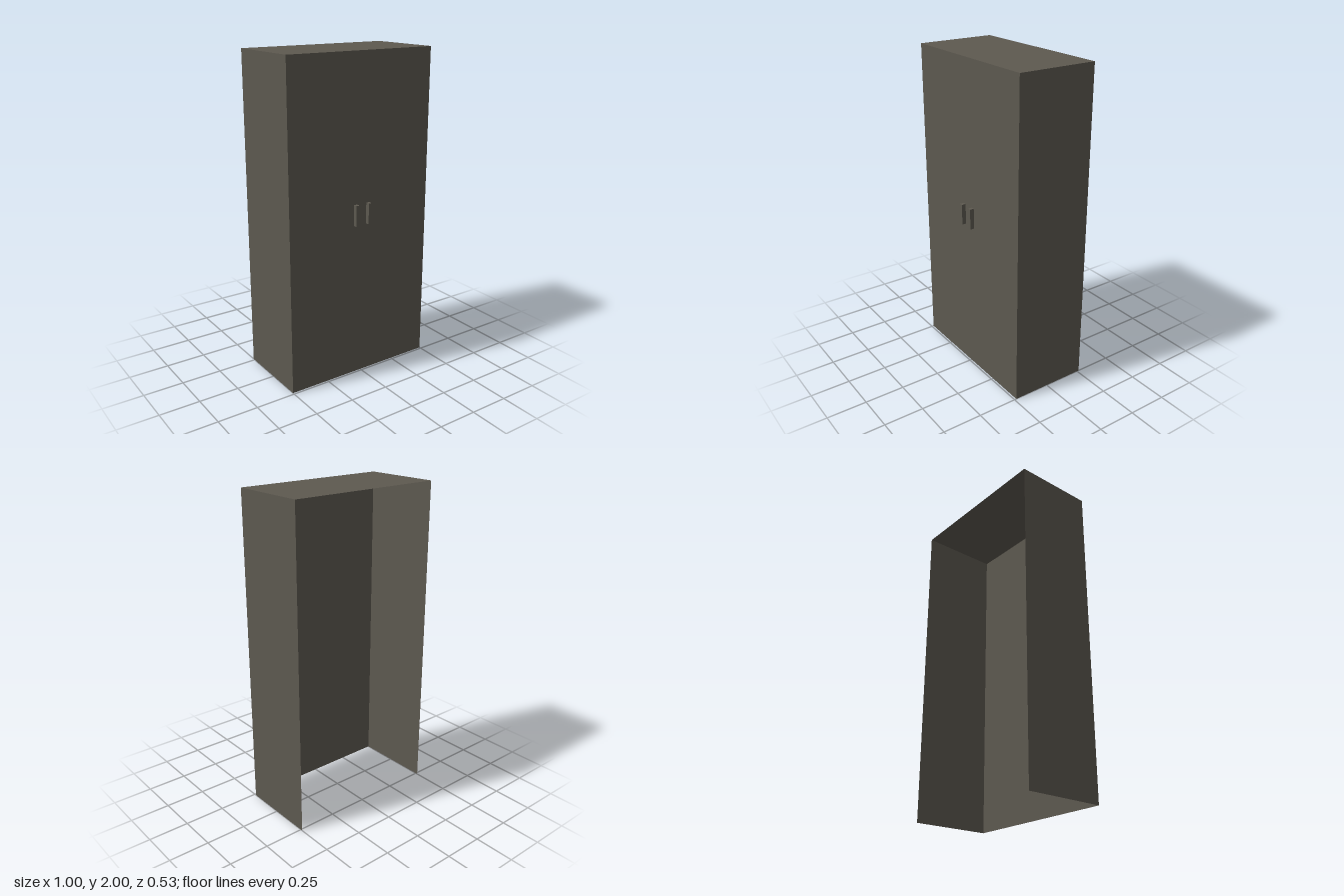
import * as THREE from 'three';

const WIDTH = 1, HEIGHT = 2, DEPTH = 0.5;
const FRONT = 0.237, BACK = FRONT - DEPTH;

export function createModel() {
  const cabinet = new THREE.Group();
  cabinet.name = 'cabinet';

  const paint = new THREE.MeshStandardMaterial({ color: 0x5d5950, side: THREE.DoubleSide });
  paint.name = 'grey brown paint';

  const add = (name, geometry, x, y, z) => {
    const mesh = new THREE.Mesh(geometry, paint);
    mesh.name = name;
    mesh.position.set(x, y, z);
    cabinet.add(mesh);
    return mesh;
  };

  // Sheet shell, open at the back and underneath
  const midZ = (FRONT + BACK) / 2;
  add('frontPanel', new THREE.PlaneGeometry(WIDTH, HEIGHT), 0, HEIGHT / 2, FRONT);
  add('topPanel', new THREE.PlaneGeometry(WIDTH, DEPTH).rotateX(-Math.PI / 2), 0, HEIGHT, midZ);

  // Side panels and door handles, mirrored
  for (const [side, s] of [['left', 1], ['right', -1]]) {
    add(side + 'SidePanel', new THREE.PlaneGeometry(DEPTH, HEIGHT).rotateY(s * Math.PI / 2),
      s * WIDTH / 2, HEIGHT / 2, midZ);
    add(side + 'Handle', new THREE.BoxGeometry(0.022, 0.13, 0.026), s * 0.045, 1.043, FRONT + 0.013);
  }

  return cabinet;
}
